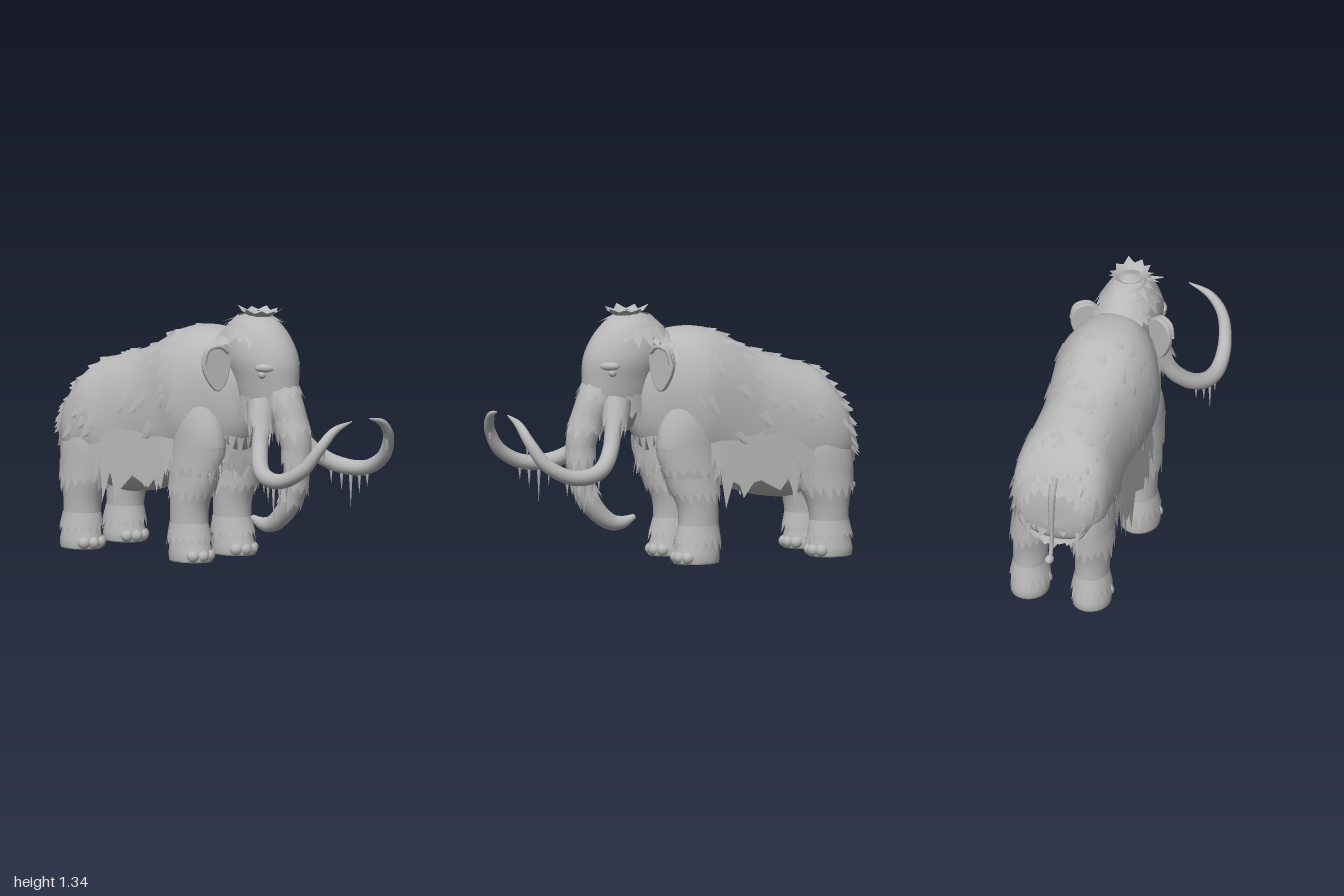
import * as THREE from 'three';
import { mergeVertices } from 'three/addons/utils/BufferGeometryUtils.js';

const V = (x, y, z) => new THREE.Vector3(x, y, z);
const fur = new THREE.MeshStandardMaterial({ color: 0xb8b8b8, side: THREE.DoubleSide });
fur.name = 'grey';

let seed = 7;
const rnd = (a = 0, b = 1) => {
  seed = (seed * 16807) % 2147483647;
  return a + (b - a) * (seed / 2147483647);
};
const spow = (v, e) => Math.sign(v) * Math.abs(v) ** e;

// Smooth interpolation through rows of numbers, t from 0 to 1
function sample(rows, t) {
  const n = rows.length - 1, f = Math.min(t, 0.99999) * n, i = Math.floor(f), u = f - i;
  const at = k => rows[Math.max(0, Math.min(n, k))];
  return rows[0].map((_, c) => {
    const a = at(i - 1)[c], b = at(i)[c], d = at(i + 1)[c], e = at(i + 2)[c];
    return b + 0.5 * u * (d - a + u * (2 * a - 5 * b + 4 * d - e + u * (3 * (b - d) + e - a)));
  });
}

function add(parent, name, geo) {
  const mesh = new THREE.Mesh(geo, fur);
  mesh.name = name;
  parent.add(mesh);
  return mesh;
}

// Closed loft: f(t, angle) gives a point; both ends are capped
function loft(nu, nv, f) {
  const pos = [], idx = [];
  for (let i = 0; i <= nu; i++) for (let j = 0; j < nv; j++) pos.push(...f(i / nu, j / nv * Math.PI * 2));
  const W = nv;
  for (let i = 0; i < nu; i++) for (let j = 0; j < nv; j++) {
    const a = i * W + j, b = i * W + (j + 1) % W;
    idx.push(a, a + W, b, b, a + W, b + W);
  }
  for (let j = 1; j < nv - 1; j++) idx.push(0, j, j + 1, nu * W, nu * W + j + 1, nu * W + j);
  return mesh(pos, idx);
}

function mesh(pos, idx) {
  let g = new THREE.BufferGeometry();
  g.setAttribute('position', new THREE.Float32BufferAttribute(pos, 3));
  g.setIndex(idx);
  g = mergeVertices(g, 1e-5);
  g.computeVertexNormals();
  return g;
}

// Ring of ragged hair hanging from top(a) to about hem(a)
function fringe(n, top, hem, ragged = 0.35) {
  const pos = [], idx = [];
  for (let i = 0; i < n; i++) {
    const a = i / n * Math.PI * 2, b = (i + 1) / n * Math.PI * 2, m = (a + b) / 2 + rnd(-0.3, 0.3) / n;
    const ta = V(...top(a)), tb = V(...top(b));
    const ma = ta.clone().lerp(V(...hem(a)), 0.55), mb = tb.clone().lerp(V(...hem(b)), 0.55);
    const tip = V(...top(m)).lerp(V(...hem(m)), 1 + rnd(-ragged, ragged * 0.6));
    const k = pos.length / 3;
    for (const p of [ta, tb, ma, mb, tip]) pos.push(p.x, p.y, p.z);
    idx.push(k, k + 1, k + 2, k + 1, k + 3, k + 2, k + 2, k + 3, k + 4);
  }
  return mesh(pos, idx);
}

// Upright column; rows are y, centre x, centre z, radius x, radius z
const column = rows => (t, a) => {
  const [y, cx, cz, rx, rz] = sample(rows, t);
  return [cx + Math.cos(a) * rx, y, cz + Math.sin(a) * rz];
};

// Tapered tube lying in the yz plane or swept in space; rows are x, y, z, radius
function tube(rows) {
  const at = t => sample(rows, t);
  return (t, a, extra = 0) => {
    const [x, y, z, r] = at(t), q = at(Math.max(0, t - 0.01)), s = at(Math.min(1, t + 0.01));
    const dir = V(s[0] - q[0], s[1] - q[1], s[2] - q[2]).normalize();
    const u = V(1, 0, 0.35).cross(dir).normalize(), w = dir.clone().cross(u);
    const R = Math.max(0.001, r + extra);
    return V(x, y, z).addScaledVector(u, Math.cos(a) * R).addScaledVector(w, Math.sin(a) * R).toArray();
  };
}

export function createModel() {
  const model = new THREE.Group();
  model.name = 'mammoth';

  // Body; rows are z, top, bottom, half width
  const bodyRows = [[0.27, 0.98, 0.74, 0.06], [0.22, 1.08, 0.62, 0.14], [0.1, 1.19, 0.52, 0.215], [-0.05, 1.215, 0.45, 0.275],
    [-0.2, 1.19, 0.39, 0.268], [-0.4, 1.085, 0.32, 0.25], [-0.6, 1.02, 0.3, 0.258], [-0.75, 0.97, 0.36, 0.262],
    [-0.85, 0.87, 0.4, 0.245], [-0.905, 0.77, 0.44, 0.19], [-0.925, 0.66, 0.52, 0.08]];
  const body = (t, a) => {
    const [z, top, bot, hw] = sample(bodyRows, t);
    const lump = 1 + 0.015 * Math.sin(a * 5 + t * 17) * Math.sin(t * 23);
    return [spow(Math.cos(a), 0.85) * hw * lump, (top + bot) / 2 + spow(Math.sin(a), 0.88) * (top - bot) / 2, z];
  };
  add(model, 'body', loft(44, 36, body));

  // Loose tufts over the back and flanks, swept backwards and down
  const pos = [], idx = [];
  for (let i = 0; i < 110; i++) {
    const t = rnd(0.2, 0.93), a = rnd(-0.25, Math.PI + 0.25), w = rnd(0.08, 0.13), k = pos.length / 3;
    const out = V(Math.cos(a), Math.sin(a), 0), p = V(...body(t, a));
    const tip = p.clone().add(V(0, -0.05 * (1 - Math.abs(Math.sin(a)) * 0.8), -0.035)).addScaledVector(out, 0.016);
    const root = V(...body(t - 0.025, a)).addScaledVector(out, 0.004);
    for (const q of [body(t, a - w), body(t, a + w), root.toArray(), tip.toArray()]) pos.push(...q);
    idx.push(k, k + 2, k + 3, k + 2, k + 1, k + 3);
  }
  add(model, 'bodyTufts', mesh(pos, idx));

  // Long belly fringe around the body
  const plan = (a, s) => [Math.cos(a), Math.sin(a)].map((v, i) => spow(v, i ? 0.55 : 0.45) * (i ? 0.56 : 0.268) * s);
  const skirt = (s, y) => a => {
    const [x, z] = plan(a, s);
    return [x, y(z - 0.365), z - 0.365];
  };
  const hemY = z => z > -0.16 ? 0.46 : z < -0.58 ? 0.4 : 0.33;
  add(model, 'bellyFringe', fringe(72, skirt(0.95, () => 0.66), skirt(1.01, hemY)));
  add(model, 'underFringe', fringe(58, skirt(0.93, () => 0.56), skirt(0.95, z => hemY(z) - 0.02)));
  // Shaggy rump layer
  add(model, 'rumpFringe', fringe(20, a => body(0.86, a), a => {
    const p = body(0.93, a);
    return [p[0] * 1.08, p[1] - 0.05, p[2] - 0.03];
  }));

  // Legs, with toes and shaggy cuffs
  const frontRows = [[0, 0.17, -0.035, 0.098, 0.122], [0.04, 0.17, -0.035, 0.1, 0.125], [0.12, 0.17, -0.045, 0.09, 0.112],
    [0.28, 0.17, -0.045, 0.09, 0.108], [0.42, 0.17, -0.015, 0.095, 0.14], [0.58, 0.17, 0.01, 0.1, 0.175], [0.75, 0.16, 0.01, 0.1, 0.15], [0.9, 0.13, 0, 0.08, 0.1]];
  const hindRows = [[0, 0.17, -0.785, 0.098, 0.115], [0.04, 0.17, -0.785, 0.1, 0.12], [0.12, 0.17, -0.785, 0.088, 0.105],
    [0.26, 0.17, -0.775, 0.09, 0.11], [0.4, 0.17, -0.755, 0.1, 0.155], [0.58, 0.16, -0.73, 0.1, 0.175], [0.72, 0.14, -0.72, 0.08, 0.13]];
  const cuff = (rows, t0, t1, flare) => fringe(18, column(rows.map(r => [...r.slice(0, 3), r[3] + 0.002, r[4] + 0.002])).bind(null, t0),
    column(rows.map(r => [...r.slice(0, 3), r[3] + flare, r[4] + flare])).bind(null, t1), 0.3);
  for (const side of [1, -1]) {
    for (const [name, rows, cuffs] of [['frontLeg', frontRows, [[0.36, 0.21], [0.6, 0.47], [0.74, 0.57]]],
      ['hindLeg', hindRows, [[0.42, 0.24], [0.72, 0.56]]]]) {
      const leg = new THREE.Group();
      leg.name = name;
      leg.scale.x = side;
      model.add(leg);
      add(leg, name + 'Column', loft(20, 20, column(rows)));
      for (const [t0, t1] of cuffs) add(leg, name + 'Cuff', cuff(rows, t0, t1, 0.018));
      for (let i = -1.5; i <= 1.5; i++) {
        const a = i * 0.55;
        const toe = add(leg, 'toe', new THREE.SphereGeometry(0.034, 10, 8));
        toe.scale.y = 0.95;
        toe.position.set(0.17 + Math.sin(a) * 0.085, 0.0325, rows[0][2] + Math.cos(a) * 0.105);
      }
    }
  }

  // Head
  const headRows = [[0.69, 0, 0.35, 0.05, 0.08], [0.78, 0, 0.35, 0.1, 0.15], [0.88, 0, 0.34, 0.125, 0.185], [0.97, 0, 0.33, 0.14, 0.198],
    [1.06, 0, 0.31, 0.157, 0.214], [1.14, 0, 0.29, 0.152, 0.205], [1.22, 0, 0.27, 0.13, 0.17], [1.28, 0, 0.26, 0.085, 0.11], [1.3, 0, 0.26, 0.01, 0.01]];
  add(model, 'head', loft(28, 28, column(headRows)));
  const ring = (y, rx, rz, cz) => a => [Math.cos(a) * rx, y, cz + Math.sin(a) * rz];

  // Layered mop of hair on the crown
  add(model, 'hairLower', fringe(20, ring(1.25, 0.115, 0.15, 0.26), ring(1.15, 0.172, 0.222, 0.25)));
  add(model, 'hairMiddle', fringe(17, ring(1.295, 0.08, 0.1, 0.26), ring(1.19, 0.155, 0.205, 0.25)));
  add(model, 'hairUpper', fringe(13, ring(1.32, 0.01, 0.01, 0.28), ring(1.26, 0.14, 0.175, 0.26)));
  add(model, 'hairTop', fringe(9, ring(1.29, 0.05, 0.06, 0.29), ring(1.335, 0.11, 0.13, 0.29), 0.2));
  add(model, 'napeFringe', fringe(18, ring(1.2, 0.1, 0.1, 0.16), ring(1.13, 0.17, 0.15, 0.14)));
  // Ragged cheeks and chin
  add(model, 'cheekFringe', fringe(22, ring(0.9, 0.125, 0.18, 0.33), ring(0.72, 0.125, 0.17, 0.33)));
  add(model, 'neckFringe', fringe(20, ring(0.85, 0.15, 0.13, 0.13), ring(0.55, 0.17, 0.13, 0.1)));

  // Trunk, curling back at the tip
  const trunk = tube([[0, 1.02, 0.38, 0.105], [0, 0.9, 0.435, 0.1], [0, 0.78, 0.495, 0.09], [0, 0.64, 0.54, 0.08], [0, 0.5, 0.545, 0.068],
    [0, 0.38, 0.52, 0.06], [0, 0.28, 0.46, 0.053], [0, 0.215, 0.38, 0.044], [0, 0.207, 0.31, 0.034], [0, 0.235, 0.24, 0.014]]);
  add(model, 'trunk', loft(40, 18, trunk));
  for (const t of [0.08, 0.22, 0.34, 0.44, 0.52])
    add(model, 'trunkFringe', fringe(11, a => trunk(t, a, 0), a => trunk(t + 0.1, a, 0.016), 0.3));

  // Ears, eyes, tusks and icicles, mirrored
  const earShape = new THREE.Shape().setFromPoints(new THREE.CatmullRomCurve3([V(0, 0.07, 0), V(0.05, 0.115, 0), V(0.125, 0.1, 0),
    V(0.148, 0.03, 0), V(0.125, -0.05, 0), V(0.07, -0.115, 0), V(0.035, -0.09, 0), V(0.005, 0, 0)], true).getPoints(28).map(p => new THREE.Vector2(p.x, p.y)));
  const earGeo = new THREE.ExtrudeGeometry(earShape, { depth: 0.012, bevelSize: 0.007, bevelThickness: 0.008, bevelSegments: 2 });
  const tusk = tube([[0.085, 0.86, 0.37, 0.04], [0.125, 0.74, 0.41, 0.043], [0.185, 0.62, 0.45, 0.043], [0.26, 0.535, 0.525, 0.043], [0.312, 0.5, 0.63, 0.042],
    [0.325, 0.51, 0.75, 0.039], [0.31, 0.58, 0.87, 0.035], [0.27, 0.69, 0.94, 0.029], [0.19, 0.775, 0.968, 0.021], [0.07, 0.812, 0.982, 0.003]]);
  const icicles = [[0.265, 0.5, 0.55, 0.09], [0.29, 0.475, 0.6, 0.1], [0.305, 0.47, 0.65, 0.18], [0.315, 0.475, 0.7, 0.11], [0.32, 0.48, 0.75, 0.07], [0.25, 0.68, 0.945, 0.07]];
  for (const side of [1, -1]) {
    const half = new THREE.Group();
    half.name = side > 0 ? 'leftFace' : 'rightFace';
    half.scale.x = side;
    model.add(half);
    const ear = add(half, 'ear', earGeo);
    ear.position.set(0.137, 1.03, 0.2);
    ear.rotation.y = 0.5;
    const rim = add(half, 'earRim', new THREE.TubeGeometry(new THREE.CatmullRomCurve3([V(0.01, 0.08, 0.022), V(0.06, 0.115, 0.03),
      V(0.125, 0.1, 0.03), V(0.147, 0.03, 0.024)]), 14, 0.012, 8));
    rim.position.copy(ear.position);
    rim.rotation.y = 0.5;
    const eye = add(half, 'eye', new THREE.SphereGeometry(0.022, 12, 10));
    eye.position.set(0.124, 1.01, 0.415);
    const brow = add(half, 'brow', new THREE.SphereGeometry(0.05, 14, 10));
    brow.scale.set(0.6, 0.5, 1.2);
    brow.position.set(0.112, 1.045, 0.43);
    brow.rotation.y = -0.7;
    add(half, 'tusk', loft(44, 14, tusk));
    add(half, 'tuskSleeve', fringe(11, a => tusk(0, a, 0.035), a => tusk(0.17, a, 0.022)));
    for (const [x, y, z, h] of icicles) {
      const ice = add(half, 'icicle', new THREE.ConeGeometry(0.011, h, 6));
      ice.rotation.x = Math.PI;
      ice.position.set(x, y - h / 2, z);
    }
  }

  // Tail with a small tuft
  add(model, 'tail', loft(16, 8, tube([[0, 0.8, -0.88, 0.025], [0, 0.7, -0.925, 0.02], [0, 0.56, -0.935, 0.015], [0, 0.44, -0.93, 0.012], [0, 0.36, -0.945, 0.011], [0, 0.33, -0.965, 0.011]])));
  const tuft = add(model, 'tailTuft', new THREE.SphereGeometry(0.026, 10, 8));
  tuft.scale.set(0.9, 0.9, 1.25);
  tuft.position.set(0, 0.335, -0.967);
  return model;
}
